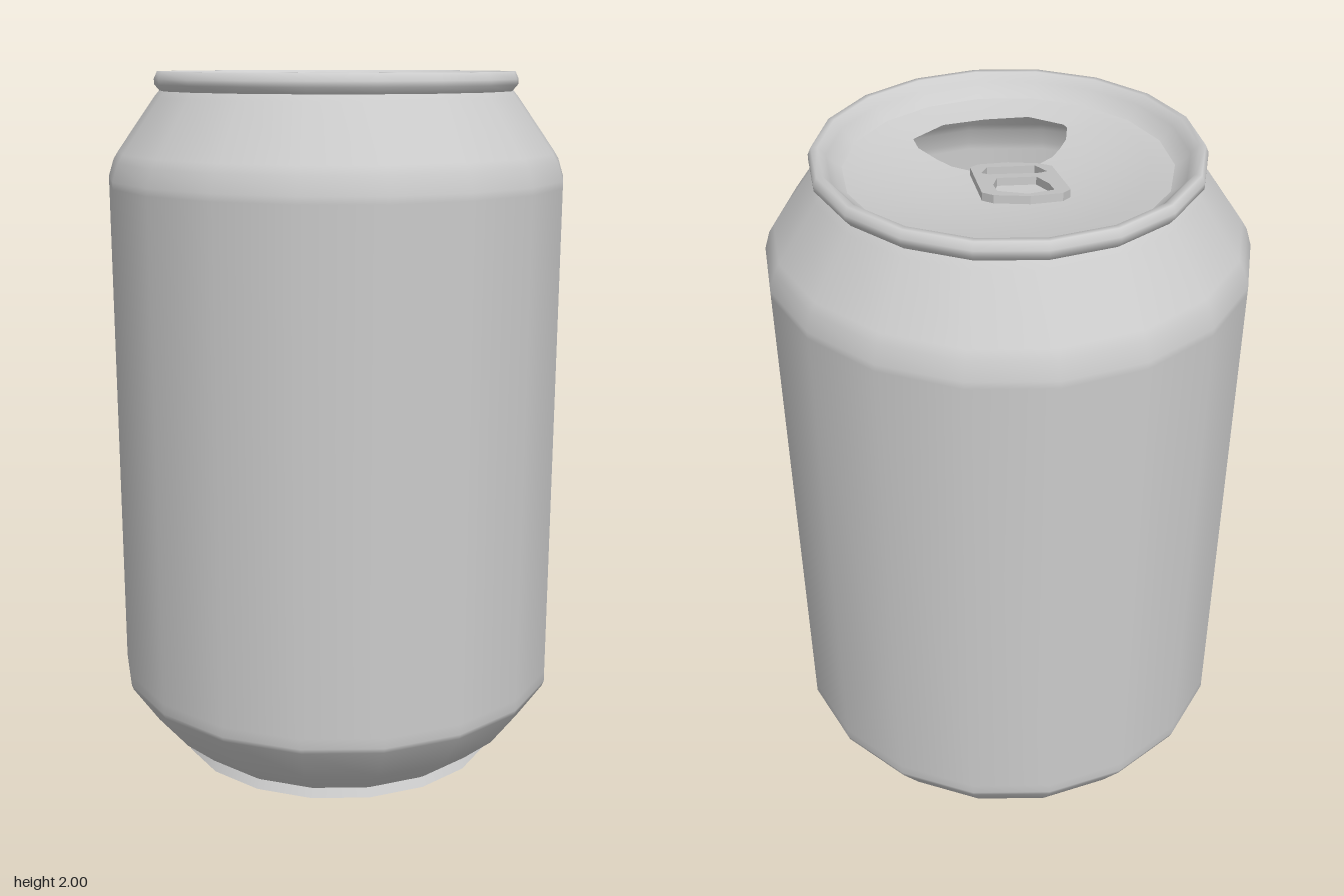
import * as THREE from 'three';

const SIDES = 18;
const LID_R = 0.43;
const material = new THREE.MeshStandardMaterial({ color: 0xcccccc, side: THREE.DoubleSide });

const pts = (list) => list.map(([x, y]) => new THREE.Vector2(x, y));

function add(group, name, geometry) {
  const mesh = new THREE.Mesh(geometry, material);
  mesh.name = name;
  group.add(mesh);
  return mesh;
}

// Dished lid: loops blended from the round rim to the drinking hole
function lidGeometry() {
  const hole = [
    [0.19, 0.13], [0.24, 0.175], [0.255, 0.215], [0.175, 0.298], [0.06, 0.335], [-0.06, 0.345],
    [-0.155, 0.3], [-0.165, 0.285], [-0.16, 0.23], [-0.14, 0.185], [-0.12, 0.15], [-0.09, 0.125],
    [-0.06, 0.1], [0, 0.09], [0.05, 0.083], [0.08, 0.08], [0.11, 0.087], [0.15, 0.1],
  ];
  const rings = 5, pos = [], index = [];
  for (let j = 0; j <= rings; j++) {
    for (let i = 0; i < SIDES; i++) {
      const a = (i / SIDES) * Math.PI * 2, t = j / rings;
      const x = THREE.MathUtils.lerp(Math.cos(a) * LID_R, hole[i][0], t);
      const z = THREE.MathUtils.lerp(Math.sin(a) * LID_R, hole[i][1], t);
      const r = Math.hypot(x, z) / LID_R;
      pos.push(x, 1.885 + 0.06 * r * r, z);
      if (j < rings) {
        const n = (i + 1) % SIDES, p = j * SIDES + i, q = j * SIDES + n;
        index.push(p, p + SIDES, q, q, p + SIDES, q + SIDES);
      }
    }
  }
  const g = new THREE.BufferGeometry();
  g.setAttribute('position', new THREE.Float32BufferAttribute(pos, 3));
  g.setIndex(index);
  g.computeVertexNormals();
  return g;
}

// Pull tab: flat plate with two openings, sloping up towards the back
function tabGeometry() {
  const plan = (list) => pts(list.map(([x, z]) => [x, -z]));
  const shape = new THREE.Shape(plan([
    [-0.15, -0.2], [-0.13, -0.24], [-0.05, -0.27], [0.04, -0.258], [0.068, -0.23], [0.1, 0.05],
    [0.08, 0.085], [0, 0.11], [-0.08, 0.095], [-0.115, 0.065],
  ]));
  const openings = [
    [[-0.11, -0.205], [-0.045, -0.245], [0.03, -0.215], [0.04, -0.15], [0.03, -0.075], [-0.07, -0.062], [-0.1, -0.14]],
    [[-0.1, 0], [-0.08, -0.018], [0.05, -0.033], [0.07, -0.018], [0.055, 0.05], [0, 0.058], [-0.07, 0.07]],
  ];
  for (const o of openings) shape.holes.push(new THREE.Path(plan(o)));
  const g = new THREE.ExtrudeGeometry(shape, { depth: 0.022, bevelEnabled: false });
  g.rotateX(-Math.PI / 2);
  const p = g.attributes.position;
  for (let i = 0; i < p.count; i++) p.setY(i, p.getY(i) + 1.88 + (0.11 - p.getZ(i)) * 0.25);
  g.computeVertexNormals();
  return g;
}

export function createModel() {
  const group = new THREE.Group();
  group.name = 'drinkCan';

  // Wall from foot to shoulder, with close loops to keep the bends tight
  add(group, 'body', new THREE.LatheGeometry(pts([
    [0.462, 0.025], [0.48, 0.037], [0.57, 0.115], [0.645, 0.225], [0.65, 0.24], [0.65, 0.27],
    [0.65, 1.69], [0.65, 1.71], [0.635, 1.758], [0.62, 1.782], [0.515, 1.93], [0.5, 1.948],
  ]), SIDES, Math.PI / 2));

  // Rolled rim turning inwards to the lid
  add(group, 'rim', new THREE.LatheGeometry(pts([
    [0.498, 1.946], [0.514, 1.965], [0.514, 1.98], [0.505, 2], [0.488, 2], [0.468, 1.978],
    [0.45, 1.957], [LID_R, 1.945],
  ]), SIDES, Math.PI / 2));

  // Foot ring and flat base
  add(group, 'foot', new THREE.LatheGeometry(pts([[0.475, 0], [0.462, 0.025]]), SIDES, Math.PI / 2));
  add(group, 'base', new THREE.CircleGeometry(0.475, SIDES).rotateX(Math.PI / 2));

  add(group, 'lid', lidGeometry());
  add(group, 'pullTab', tabGeometry());
  return group;
}
